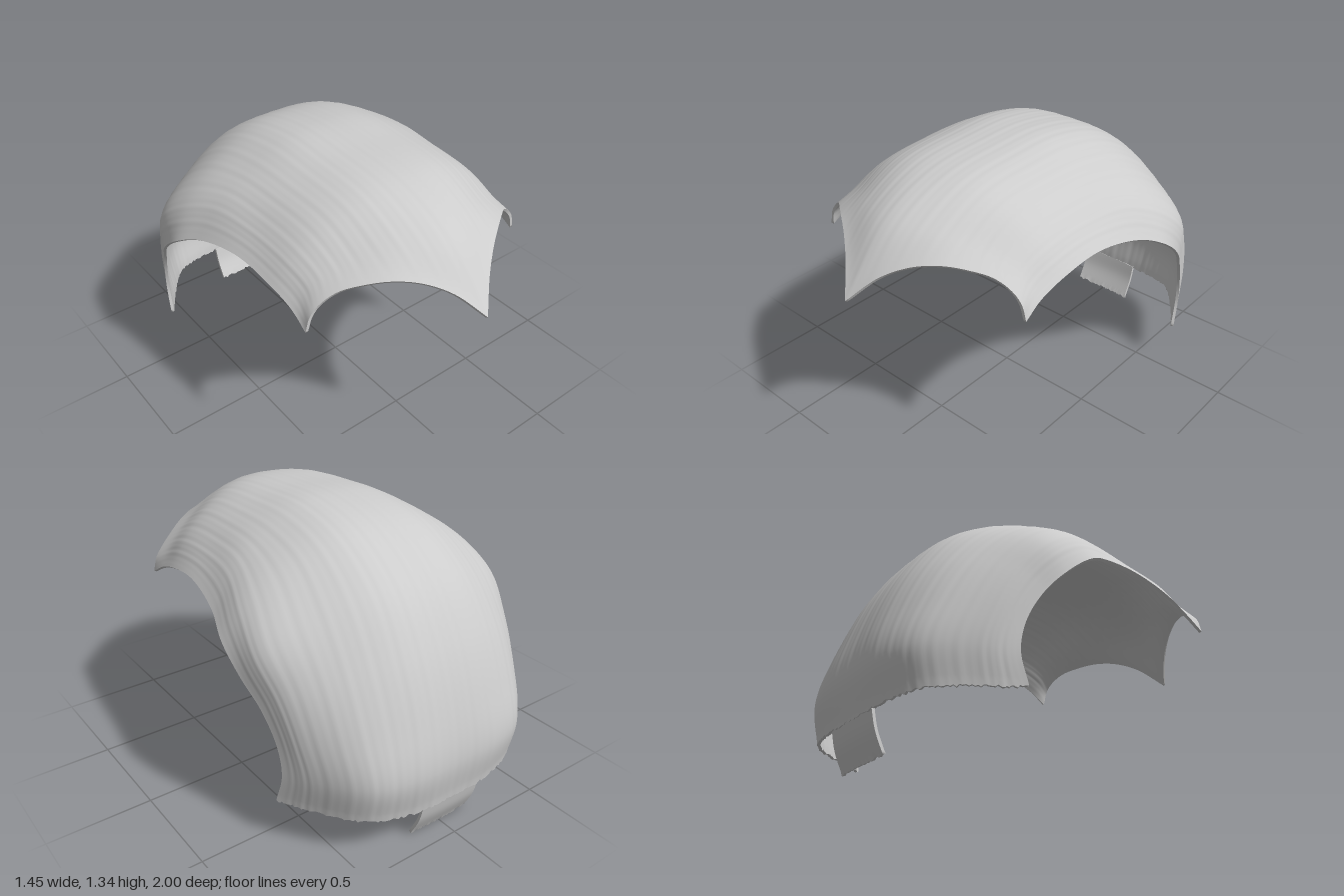
import * as THREE from 'three';
import { mergeGeometries } from 'three/addons/utils/BufferGeometryUtils.js';

const V = (x, y, z) => new THREE.Vector3(x, y, z);
const THICKNESS = 0.014;

// Scalloped front hairline, from the centre peak to the temple corner
const HAIRLINE = [
  V(0, 0.91, 1), V(0.1, 1.015, 0.9), V(0.2, 1.068, 0.82), V(0.3, 1.085, 0.75), V(0.4, 1.07, 0.68),
  V(0.48, 1.04, 0.625), V(0.55, 0.99, 0.595), V(0.59, 0.94, 0.587), V(0.61, 0.87, 0.585),
];

// Half cross-sections, front to nape: centre (y, z), then three side points and the open edge (x, y, z)
const SECTIONS = [
  [1.18, 0.75, 0.2, 1.175, 0.68, 0.38, 1.12, 0.59, 0.52, 1.04, 0.52, 0.608, 0.925, 0.49],
  [1.3, 0.48, 0.2, 1.282, 0.45, 0.38, 1.205, 0.41, 0.525, 1.095, 0.37, 0.62, 0.975, 0.34],
  [1.333, 0.15, 0.2, 1.313, 0.14, 0.39, 1.23, 0.13, 0.535, 1.115, 0.12, 0.637, 1.0, 0.12],
  [1.336, -0.12, 0.2, 1.318, -0.12, 0.4, 1.225, -0.12, 0.565, 1.11, -0.12, 0.68, 0.955, -0.13],
  [1.27, -0.42, 0.21, 1.255, -0.41, 0.42, 1.17, -0.37, 0.63, 1.03, -0.33, 0.724, 0.88, -0.28],
  [1.1, -0.68, 0.22, 1.09, -0.665, 0.45, 1.02, -0.585, 0.665, 0.905, -0.49, 0.719, 0.77, -0.41],
  [0.88, -0.84, 0.23, 0.87, -0.825, 0.455, 0.82, -0.745, 0.635, 0.74, -0.615, 0.686, 0.65, -0.51],
  [0.62, -0.945, 0.23, 0.61, -0.935, 0.45, 0.59, -0.86, 0.61, 0.55, -0.7, 0.661, 0.5, -0.585],
  [0.38, -0.992, 0.24, 0.38, -0.988, 0.435, 0.38, -0.925, 0.585, 0.375, -0.745, 0.655, 0.36, -0.608],
  [0.185, -0.968, 0.23, 0.19, -0.96, 0.43, 0.205, -0.895, 0.575, 0.215, -0.72, 0.665, 0.22, -0.575],
];

const mirror = (p) => V(-p.x, p.y, p.z);

function seeded(seed) {
  return () => (seed = (seed * 16807) % 2147483647) / 2147483647;
}

function indexed(pos, index) {
  const g = new THREE.BufferGeometry();
  g.setAttribute('position', new THREE.Float32BufferAttribute(pos, 3));
  g.setIndex(index);
  g.computeVertexNormals();
  return g;
}

// Thick sheet: point(u, v) gives the outside, with u across (-1..1) and v from front to back (0..1)
function sheetGeometry(cols, rows, point) {
  const pos = [], index = [], border = [];
  const id = (c, r) => r * (cols + 1) + c;
  for (let r = 0; r <= rows; r++) {
    for (let c = 0; c <= cols; c++) {
      pos.push(...point((2 * c) / cols - 1, r / rows).toArray());
      if (r < rows && c < cols) {
        const a = id(c, r), b = id(c, r + 1);
        index.push(a, a + 1, b, a + 1, b + 1, b);
      }
    }
  }
  const outer = indexed(pos, index);
  const normal = outer.attributes.normal.array;
  const inPos = pos.map((p, i) => p - THICKNESS * normal[i]);
  const inner = indexed(inPos, index.slice().reverse());

  // Rim joining the two faces around the border
  for (let c = 0; c < cols; c++) border.push(id(c, 0));
  for (let r = 0; r < rows; r++) border.push(id(cols, r));
  for (let c = cols; c > 0; c--) border.push(id(c, rows));
  for (let r = rows; r > 0; r--) border.push(id(0, r));
  const rimPos = [], rimIndex = [], n = border.length;
  border.forEach((k, i) => {
    rimPos.push(...pos.slice(3 * k, 3 * k + 3), ...inPos.slice(3 * k, 3 * k + 3));
    const a = 2 * i, b = 2 * ((i + 1) % n);
    rimIndex.push(a, a + 1, b, b, a + 1, b + 1);
  });
  return mergeGeometries([outer, inner, indexed(rimPos, rimIndex)]);
}

export function createModel() {
  const group = new THREE.Group();
  group.name = 'hairCap';
  const hairGrey = new THREE.MeshStandardMaterial({ color: 0xcccccc, side: THREE.DoubleSide });
  hairGrey.name = 'hairGrey';

  const hairline = new THREE.CatmullRomCurve3(HAIRLINE);
  const sections = SECTIONS.map(([cy, cz, ...s]) => {
    const half = [0, 3, 6, 9].map((i) => V(s[i], s[i + 1], s[i + 2]));
    return new THREE.CatmullRomCurve3([...half.map(mirror).reverse(), V(0, cy, cz), ...half]);
  });

  // One lengthwise curve per value of u, cached while the grid is filled
  const strands = new Map();
  const strand = (u) => {
    if (!strands.has(u)) {
      const front = hairline.getPoint(Math.abs(u));
      if (u < 0) front.x *= -1;
      strands.set(u, new THREE.CatmullRomCurve3([front, ...sections.map((s) => s.getPoint((u + 1) / 2))]));
    }
    return strands.get(u);
  };

  // Faint combed ridges running from front to back
  const ridge = (u, v) =>
    0.0006 * Math.sin(u * 71 + 2 * Math.sin(v * 5)) + 0.0006 * Math.sin(u * 127 + 3 * Math.sin(v * 4 + 1));
  const rand = seeded(77);
  const inside = V(0, 0.5, -0.1);

  const shell = new THREE.Mesh(sheetGeometry(160, 90, (u, v) => {
    const p = strand(u).getPoint(v);
    const fade = Math.min(1, 8 * v, 8 * (1 - Math.abs(u)));
    p.addScaledVector(p.clone().sub(inside).normalize(), ridge(u, v) * fade);
    if (v === 1) p.y -= 0.012 * rand(); // ragged lower edge
    return p;
  }), hairGrey);
  shell.name = 'hairShell';

  // Narrow tab hanging at the nape
  const tabLine = new THREE.CatmullRomCurve3([V(0, 0.19, -0.968), V(0, 0.1, -0.945), V(0, 0.005, -0.9)]);
  const tab = new THREE.Mesh(sheetGeometry(40, 12, (u, v) => {
    const p = tabLine.getPoint(v);
    p.x = 0.165 * u;
    p.z += 0.006 * u * u;
    if (v === 1) p.y += 0.01 * rand() - 0.005;
    return p;
  }), hairGrey);
  tab.name = 'napeTab';

  group.add(shell, tab);
  return group;
}
